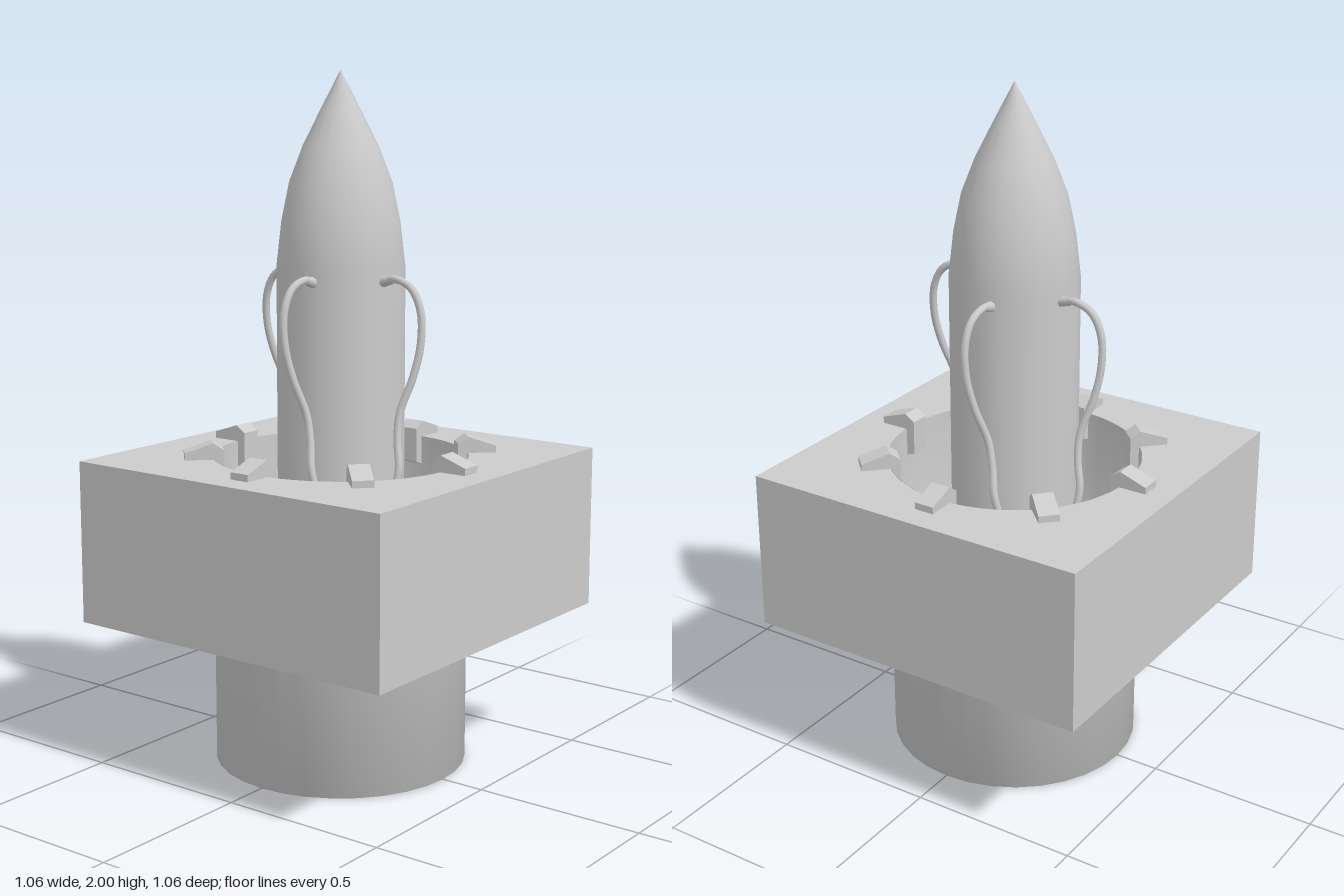
import * as THREE from 'three';

const material = new THREE.MeshStandardMaterial({ color: 0xcccccc });
const thinMaterial = new THREE.MeshStandardMaterial({ color: 0xcccccc, side: THREE.DoubleSide });

const HOLE = 0.37;          // launch hole radius
const BLOCK_BOTTOM = 0.43;
const BLOCK_TOP = 0.905;
const BLOCK_HALF = 0.53;

function addMesh(parent, name, geometry, mat = material) {
  const mesh = new THREE.Mesh(geometry, mat);
  mesh.name = name;
  parent.add(mesh);
  return mesh;
}

function lathe(points, segments) {
  return new THREE.LatheGeometry(points.map(([r, y]) => new THREE.Vector2(r, y)), segments);
}

function polygon(points) {
  return new THREE.Shape(points.map(([x, y]) => new THREE.Vector2(x, y)));
}

// Square block with a round hole through it
function blockGeometry() {
  const b = BLOCK_HALF;
  const shape = polygon([[-b, -b], [b, -b], [b, b], [-b, b]]);
  shape.holes.push(new THREE.Path().absarc(0, 0, HOLE, 0, Math.PI * 2, true));
  const geometry = new THREE.ExtrudeGeometry(shape, {
    depth: BLOCK_TOP - BLOCK_BOTTOM, bevelEnabled: false, curveSegments: 32,
  });
  return geometry.rotateX(-Math.PI / 2).translate(0, BLOCK_BOTTOM, 0);
}

// Bent clamp: a sloped foot on the block and a leg down the hole wall
function clampGeometry() {
  const width = 0.06;
  const profile = polygon([
    [0.452, BLOCK_TOP], [0.452, 0.925], [0.37, 0.953], [0.34, 0.932],
    [0.34, 0.83], [0.37, 0.82], [0.37, BLOCK_TOP],
  ]);
  return new THREE.ExtrudeGeometry(profile, { depth: width, bevelEnabled: false })
    .translate(0, 0, -width / 2);
}

// Fuel line from the rocket body down to the hole wall
const HOSE_PATH = [
  [0.17, 1.42, 0.037], [0.225, 1.432, 0.045], [0.275, 1.41, 0.042], [0.307, 1.35, 0.042],
  [0.314, 1.26, 0.05], [0.302, 1.17, 0.068], [0.277, 1.07, 0.095], [0.282, 0.995, 0.112],
  [0.3, 0.92, 0.13], [0.288, 0.83, 0.15], [0.28, 0.75, 0.165], [0.295, 0.67, 0.185],
  [0.312, 0.6, 0.2],
];

function buildHose(name, place) {
  const hose = new THREE.Group();
  hose.name = name;
  const points = HOSE_PATH.map(([x, y, z]) => new THREE.Vector3(...place(x, y, z)));
  const curve = new THREE.CatmullRomCurve3(points);
  addMesh(hose, 'hoseLine', new THREE.TubeGeometry(curve, 56, 0.011, 8), thinMaterial);

  // Tapered plug on the rocket skin
  const plug = addMesh(hose, 'hosePlug', new THREE.CylinderGeometry(0.011, 0.016, 0.045, 8));
  const direction = points[1].clone().sub(points[0]).normalize();
  plug.quaternion.setFromUnitVectors(new THREE.Vector3(0, 1, 0), direction);
  plug.position.copy(points[0]).addScaledVector(direction, 0.025);
  return hose;
}

export function createModel() {
  const model = new THREE.Group();
  model.name = 'rocketSilo';

  addMesh(model, 'siloBlock', blockGeometry());

  // Open-topped shaft with a closed floor
  const r = HOLE - 0.001;
  addMesh(model, 'siloShaft', lathe([[0, 0], [r, 0], [r, BLOCK_TOP - 0.001]], 32), thinMaterial);

  // Rocket with a pointed nose, standing on the shaft floor
  addMesh(model, 'rocket', lathe([
    [0, 0.01], [0.185, 0.01], [0.185, 0.02], [0.185, 1.45], [0.17, 1.58],
    [0.147, 1.69], [0.108, 1.79], [0.055, 1.895], [0, 2],
  ], 18));

  // Ring of eight clamps
  const clampShape = clampGeometry();
  for (let i = 0; i < 8; i++) {
    addMesh(model, 'clamp' + (i + 1), clampShape).rotation.y = (i * Math.PI) / 4;
  }

  // Four hoses, mirrored across the diagonals
  model.add(
    buildHose('leftHose', (x, y, z) => [x, y, z]),
    buildHose('frontHose', (x, y, z) => [z, y, x]),
    buildHose('rightHose', (x, y, z) => [-x, y, -z]),
    buildHose('backHose', (x, y, z) => [-z, y, -x]),
  );

  return model;
}
